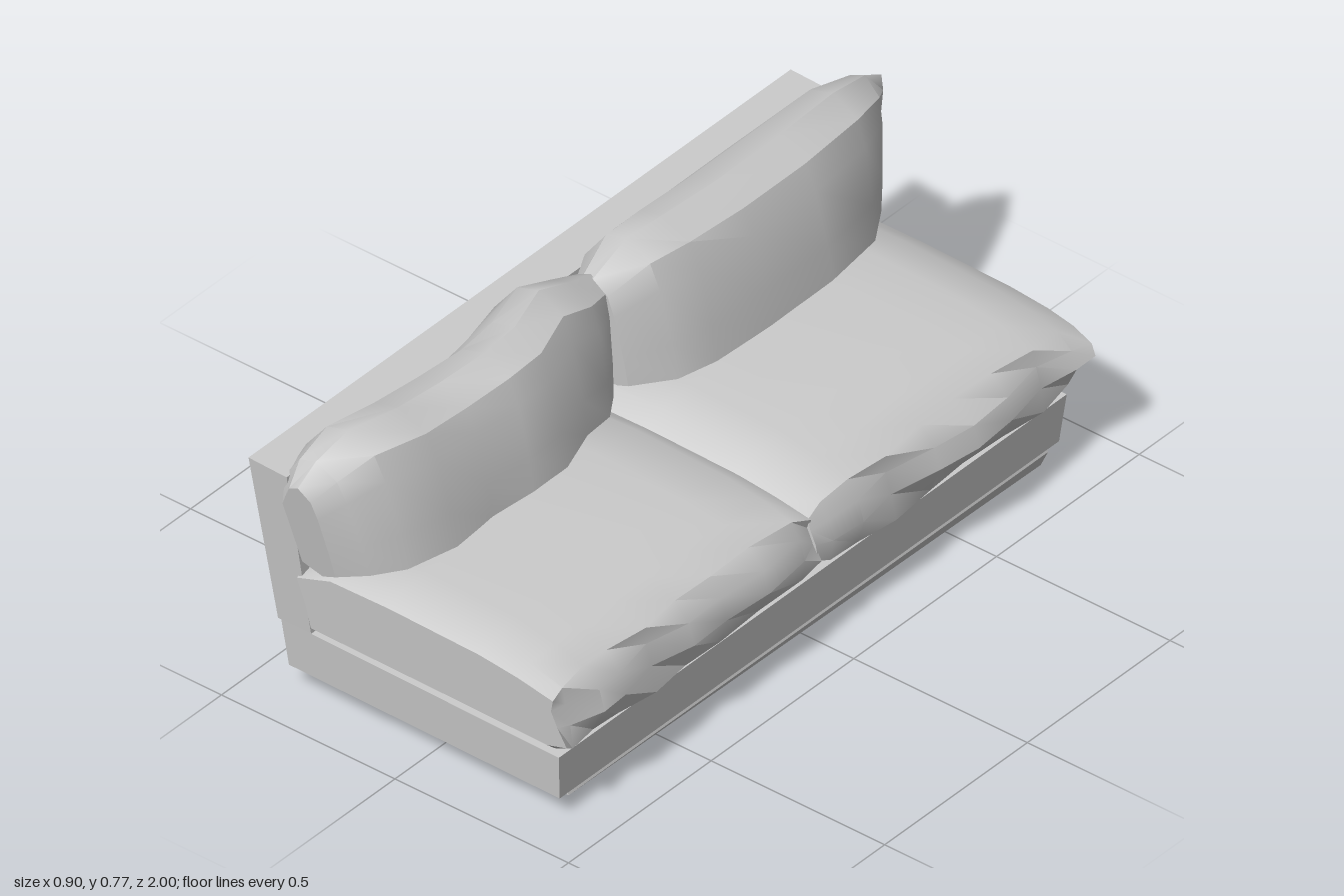
import * as THREE from 'three';
import { toCreasedNormals } from 'three/addons/utils/BufferGeometryUtils.js';

const material = new THREE.MeshStandardMaterial({ color: 0xcccccc, side: THREE.DoubleSide });

// Skin over a row of closed rings of [x, y, z], with optional end caps
function loft(name, rings, { startCap = true, endCap = true, crease = 0.6 } = {}) {
  const n = rings[0].length;
  const positions = rings.flat(2);
  const index = [];
  for (let i = 0; i < rings.length - 1; i++) {
    for (let j = 0; j < n; j++) {
      const a = i * n + j, b = i * n + (j + 1) % n;
      index.push(a, b, b + n, a, b + n, a + n);
    }
  }
  const cap = (row, flip) => {
    const centre = positions.length / 3;
    for (let k = 0; k < 3; k++) positions.push(rings[row].reduce((s, p) => s + p[k], 0) / n);
    for (let j = 0; j < n; j++) {
      const a = row * n + j, b = row * n + (j + 1) % n;
      index.push(...(flip ? [centre, b, a] : [centre, a, b]));
    }
  };
  if (startCap) cap(0, true);
  if (endCap) cap(rings.length - 1, false);
  const geometry = new THREE.BufferGeometry();
  geometry.setAttribute('position', new THREE.Float32BufferAttribute(positions, 3));
  geometry.setIndex(index);
  const mesh = new THREE.Mesh(toCreasedNormals(geometry, crease), material);
  mesh.name = name;
  return mesh;
}

// Seat outline in x, y, anticlockwise
const seatProfile = [
  [-0.31, 0.195], [0.1, 0.19], [0.37, 0.185], [0.41, 0.21], [0.435, 0.275], [0.42, 0.33],
  [0.38, 0.375], [0.3, 0.402], [0.19, 0.42], [-0.07, 0.43], [-0.24, 0.425], [-0.34, 0.375], [-0.32, 0.28],
];

// Sections: [z, height scale, front bulge, lean of the end face]
function seatCushion(name, sections) {
  const rings = sections.map(([z, h, bulge, lean]) => seatProfile.map(([x, y], j) => {
    const front = j >= 3 && j <= 6 ? bulge * (j === 5 || j === 4 ? 1 : -0.6) : 0;
    const yy = 0.31 + (y - 0.31) * h;
    return [x + front, yy, z + lean * (yy - 0.3)];
  }));
  return loft(name, rings);
}

// Back pillow outline in x, y, anticlockwise
const pillowProfile = [
  [-0.31, 0.43], [-0.17, 0.405], [-0.07, 0.43], [-0.085, 0.52], [-0.12, 0.66],
  [-0.15, 0.725], [-0.23, 0.765], [-0.3, 0.745], [-0.375, 0.66], [-0.34, 0.54],
];

// Sections: [z, thickness scale, top y, x shift, lean of the end face]
function backPillow(name, sections) {
  const rings = sections.map(([z, t, top, shift, lean]) => pillowProfile.map(([x, y]) => {
    const yy = 0.41 + (y - 0.41) * (top - 0.41) / 0.355;
    return [-0.23 + (x + 0.23) * t + shift, yy, z + lean * (yy - 0.67)];
  }));
  return loft(name, rings);
}

export function createModel() {
  const group = new THREE.Group();
  group.name = 'sofa';

  // Hollow base, open underneath
  const rect = (x0, x1, z0, z1, yBack, yFront) =>
    [[x0, yBack, z1], [x1, yFront, z1], [x1, yFront, z0], [x0, yBack, z0]];
  group.add(loft('base', [
    rect(-0.4, 0.38, -0.865, 0.885, 0.065, 0.057),
    rect(-0.41, 0.39, -0.88, 0.9, 0.195, 0.182),
  ], { startCap: false }));

  // Slanting backrest board, wider at the top
  group.add(loft('backrest', [
    rect(-0.415, -0.32, -0.89, 0.905, 0.198, 0.198),
    rect(-0.455, -0.345, -0.94, 0.96, 0.652, 0.648),
  ]));

  // Tapering rail under the front edge
  const railEnd = (z, low) => [[0.345, 0.045, z], [0.356, low, z], [0.377, 0.045, z], [0.37, 0.065, z], [0.35, 0.065, z]];
  group.add(loft('frontRail', [railEnd(-0.83, 0), railEnd(0.85, 0.045)]));

  // Two seat cushions
  group.add(seatCushion('leftSeatCushion', [
    [-0.915, 0.45, 0.01, -0.2], [-0.86, 0.8, 0, 0], [-0.76, 0.95, -0.02, 0], [-0.63, 0.98, 0.005, 0],
    [-0.5, 1, 0.015, 0], [-0.38, 1, 0, 0], [-0.24, 0.98, -0.025, 0], [-0.12, 0.96, -0.005, 0],
    [-0.02, 0.88, -0.01, 0], [0.03, 0.6, -0.02, 0],
  ]));
  group.add(seatCushion('rightSeatCushion', [
    [0.025, 0.6, -0.03, 0], [0.08, 0.88, -0.01, 0], [0.22, 0.97, 0.005, 0], [0.36, 1, -0.005, 0],
    [0.48, 1, 0, 0], [0.6, 0.99, -0.025, 0], [0.72, 0.98, 0, 0], [0.8, 0.97, 0.005, 0],
    [0.89, 0.93, -0.02, 0], [0.925, 0.74, -0.03, 0.1],
  ]));

  // Two soft pillows against the backrest
  group.add(backPillow('leftBackPillow', [
    [-0.995, 0.15, 0.7, -0.015, -0.25], [-0.94, 0.6, 0.725, -0.02, -0.2], [-0.82, 0.92, 0.75, -0.01, -0.1],
    [-0.62, 1, 0.752, 0, 0], [-0.4, 1, 0.755, 0.003, 0], [-0.22, 0.97, 0.762, 0, 0],
    [-0.1, 0.85, 0.764, -0.005, 0.05], [0, 0.5, 0.7, -0.02, 0.1],
  ]));
  group.add(backPillow('rightBackPillow', [
    [0, 0.55, 0.705, -0.03, -0.1], [0.08, 0.8, 0.73, -0.025, -0.05], [0.18, 0.88, 0.764, -0.03, 0],
    [0.3, 0.95, 0.745, 0, 0], [0.42, 0.9, 0.745, 0.01, 0], [0.55, 0.95, 0.728, -0.01, 0],
    [0.7, 0.98, 0.75, -0.003, 0.05], [0.85, 0.9, 0.766, -0.02, 0.1], [0.94, 0.7, 0.72, -0.04, 0.18],
    [1, 0.4, 0.67, -0.05, 0.22],
  ]));
  return group;
}
